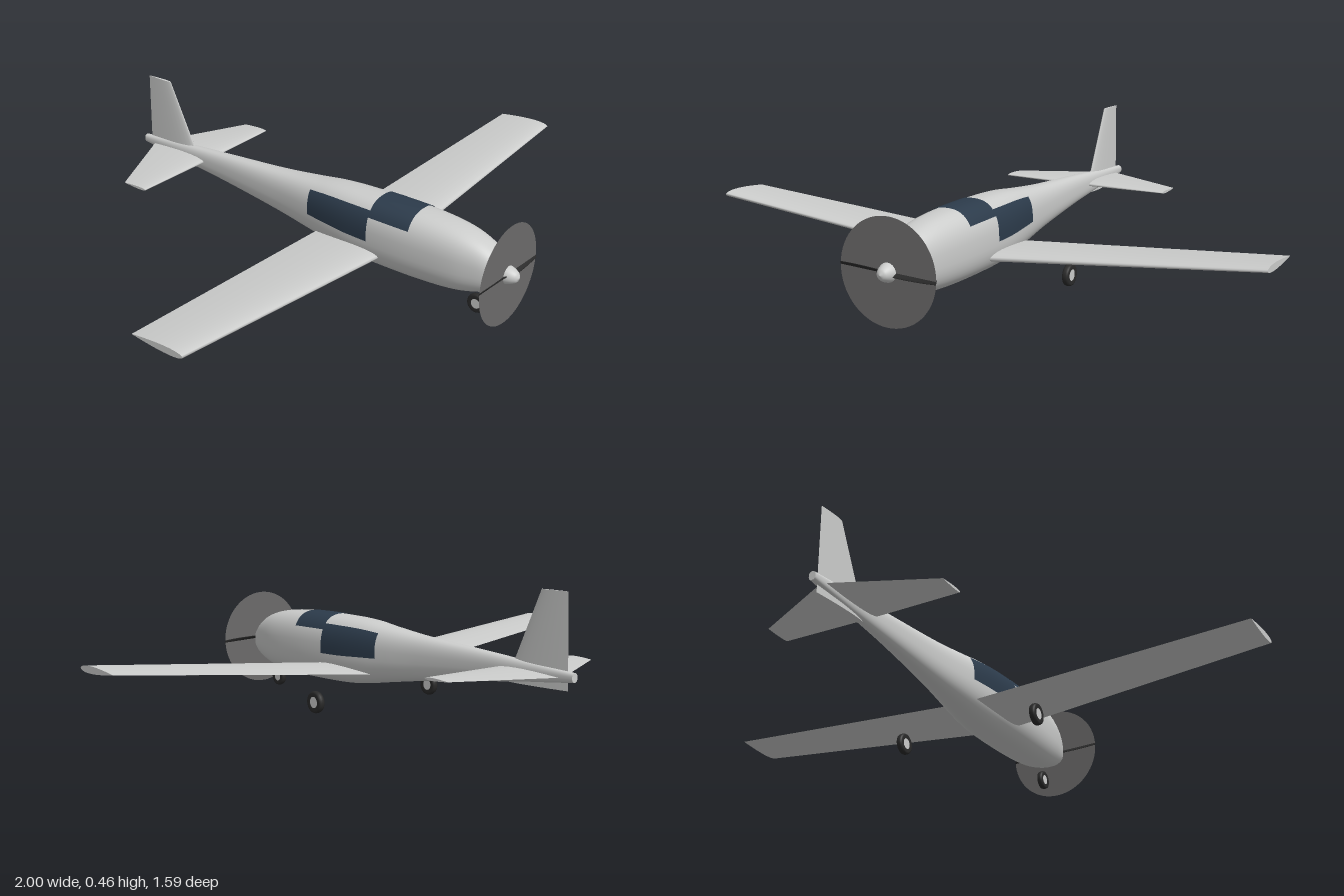
import * as THREE from 'three';

const mat = (name, color, side = THREE.FrontSide) => {
  const m = new THREE.MeshStandardMaterial({ color, side });
  m.name = name;
  return m;
};

// Skin between equal-length rings; caps get their own vertices so their edges stay sharp
function loft(rings, closed, caps) {
  const n = rings[0].length, pos = rings.flat(2), idx = [];
  for (let i = 0; i < rings.length - 1; i++) {
    for (let j = 0; j < (closed ? n : n - 1); j++) {
      const k = (j + 1) % n;
      const a = i * n + j, b = i * n + k, c = a + n, d = b + n;
      idx.push(a, b, d, a, d, c);
    }
  }
  if (caps) {
    [rings[0], rings[rings.length - 1]].forEach((ring, end) => {
      const base = pos.length / 3;
      pos.push(...ring.flat());
      for (let j = 1; j < n - 1; j++) {
        if (end) idx.push(base, base + j, base + j + 1);
        else idx.push(base, base + j + 1, base + j);
      }
    });
  }
  const g = new THREE.BufferGeometry();
  g.setAttribute('position', new THREE.Float32BufferAttribute(pos, 3));
  g.setIndex(idx);
  g.computeVertexNormals();
  return g;
}

// Fuselage stations: z, top y, bottom y, half width
const STATIONS = [
  [-0.795, 0.223, 0.194, 0.012], [-0.57, 0.240, 0.168, 0.022], [-0.4, 0.252, 0.150, 0.031],
  [-0.15, 0.268, 0.117, 0.050], [0, 0.283, 0.094, 0.069], [0.1, 0.295, 0.078, 0.083],
  [0.2, 0.300, 0.067, 0.092], [0.37, 0.301, 0.064, 0.096], [0.5, 0.297, 0.066, 0.092],
  [0.6, 0.285, 0.074, 0.083], [0.67, 0.264, 0.090, 0.068], [0.715, 0.238, 0.106, 0.054],
  [0.745, 0.212, 0.123, 0.040],
];

// Smooth interpolation of column k at z
function station(z, k) {
  const S = STATIONS, last = S.length - 1;
  let i = 0;
  while (i < last - 1 && z > S[i + 1][0]) i++;
  const slope = (p) => {
    const a = S[Math.max(p - 1, 0)], b = S[Math.min(p + 1, last)];
    return (b[k] - a[k]) / (b[0] - a[0]);
  };
  const h = S[i + 1][0] - S[i][0], t = (z - S[i][0]) / h, u = 1 - t;
  return S[i][k] * u * u * (1 + 2 * t) + S[i + 1][k] * t * t * (3 - 2 * t)
    + h * t * u * (slope(i) * u - slope(i + 1) * t);
}

// Slightly squared oval section of the fuselage
function hullPoint(z, angle, offset = 0) {
  const top = station(z, 1), bottom = station(z, 2);
  const soft = (v) => Math.sign(v) * Math.abs(v) ** 0.8;
  return [
    (station(z, 3) + offset) * soft(Math.cos(angle)),
    (top + bottom) / 2 + ((top - bottom) / 2 + offset) * soft(Math.sin(angle)),
    z,
  ];
}

function hullGeometry() {
  const rings = [], nz = 72, na = 48;
  for (let i = 0; i <= nz; i++) {
    const z = -0.795 + 1.54 * (i / nz);
    rings.push(Array.from({ length: na }, (_, j) => hullPoint(z, (j / na) * Math.PI * 2)));
  }
  return loft(rings, true, true);
}

// Thin panel lying on the hull between two z values and two angles in degrees
function hullPanel(z0, z1, a0, a1) {
  const rings = [], nz = 14, na = 24;
  for (let i = 0; i <= nz; i++) {
    const z = z0 + (z1 - z0) * (i / nz);
    rings.push(Array.from({ length: na + 1 }, (_, j) =>
      hullPoint(z, THREE.MathUtils.degToRad(a0 + (a1 - a0) * (j / na)), 0.002)));
  }
  return loft(rings, false, false);
}

// Aerofoil loop as [z, thickness], from trailing edge over the top and back below
function aerofoil(zLead, zTrail, ratio) {
  const pts = [], n = 12, chord = zLead - zTrail;
  for (let i = -n; i <= n; i++) {
    const x = (1 - Math.cos((Math.abs(i) / n) * Math.PI)) / 2;
    const t = 5 * ratio * (0.2969 * Math.sqrt(x) - 0.126 * x - 0.3516 * x ** 2 + 0.2843 * x ** 3 - 0.1036 * x ** 4);
    pts.push([zLead - x * chord, Math.abs(i) === n ? 0 : -Math.sign(i) * t * chord]);
  }
  return pts;
}

// Mirrored wing: root and tip given as [x, y, zLead, zTrail]
function wingGeometry(root, tip, ratio) {
  const ring = ([x, y, lead, trail], s) => aerofoil(lead, trail, ratio).map(([z, t]) => [s * x, y + t, z]);
  return loft([ring(tip, -1), ring(root, 1), ring(tip, 1)], false, true);
}

function finGeometry() {
  const ring = (y, lead, trail) => aerofoil(lead, trail, 0.085).map(([z, t]) => [-t, y, z]);
  return loft([ring(0.165, -0.52, -0.77), ring(0.462, -0.66, -0.765)], false, true);
}

// Twisted, tapering blade pointing to +x
function bladeGeometry() {
  const rings = [];
  for (let i = 0; i <= 10; i++) {
    const t = i / 10, pitch = 1.0 - 0.6 * t;
    const chord = 0.014 * (1 - 0.5 * t * t), thick = 0.003 * (1 - 0.6 * t);
    rings.push(Array.from({ length: 12 }, (_, j) => {
      const a = (j / 12) * Math.PI * 2, c = chord * Math.cos(a), n = thick * Math.sin(a);
      return [0.01 + 0.159 * t, c * Math.cos(pitch) + n * Math.sin(pitch), -c * Math.sin(pitch) + n * Math.cos(pitch)];
    }));
  }
  return loft(rings, true, true);
}

export function createModel() {
  const model = new THREE.Group();
  model.name = 'lightAircraft';
  const paint = mat('paleGreyPaint', 0xcccdcc);
  const glass = mat('darkBlueGlass', 0x2c3b4b, THREE.DoubleSide);
  const rubber = mat('blackRubber', 0x2a2a2a, THREE.DoubleSide);
  const bladeMat = mat('charcoalBlade', 0x2b2b2b);
  const discMat = mat('greyDisc', 0x6b6a6a, THREE.DoubleSide);
  const add = (name, geo, material, parent = model) => {
    const m = new THREE.Mesh(geo, material);
    m.name = name;
    parent.add(m);
    return m;
  };

  // Body and flying surfaces
  add('fuselage', hullGeometry(), paint);
  add('wing', wingGeometry([0, 0.114, 0.325, 0.045], [1, 0.212, 0.325, 0.13], 0.12), paint);
  add('tailplane', wingGeometry([0, 0.204, -0.49, -0.75], [0.32, 0.206, -0.49, -0.59], 0.09), paint);
  add('fin', finGeometry(), paint);

  // Windows
  add('windscreen', hullPanel(0.28, 0.435, 31, 149), glass);
  add('leftWindow', hullPanel(0.02, 0.28, -3, 45), glass);
  add('rightWindow', hullPanel(0.02, 0.28, 135, 183), glass);

  // Propeller with spinner and blur disc
  const propeller = new THREE.Group();
  propeller.name = 'propeller';
  propeller.position.set(0, 0.173, 0.755);
  propeller.rotation.z = -0.04;
  model.add(propeller);
  add('propellerDisc', new THREE.CircleGeometry(0.169, 64), discMat, propeller);
  for (let i = 0; i < 2; i++) add('blade', bladeGeometry(), bladeMat, propeller).rotation.z = i * Math.PI;
  const profile = Array.from({ length: 11 }, (_, i) =>
    new THREE.Vector2(0.032 * Math.sqrt(1 - (i / 10) ** 1.6), -0.012 + 0.052 * (i / 10)));
  add('spinner', new THREE.LatheGeometry(profile, 32), paint, propeller).rotation.x = Math.PI / 2;

  // Wheels
  const tyre = [[0.019, -0.010], [0.030, -0.011], [0.035, -0.009], [0.037, -0.004],
    [0.037, 0.004], [0.035, 0.009], [0.030, 0.011], [0.019, 0.010]].map(([r, h]) => new THREE.Vector2(r, h));
  const wheels = [['noseWheel', 0, 0.033, 0.65, 0.89], ['leftWheel', 0.258, 0.042, 0.105, 1], ['rightWheel', -0.258, 0.042, 0.105, 1]];
  for (const [name, x, y, z, scale] of wheels) {
    const wheel = new THREE.Group();
    wheel.name = name;
    wheel.position.set(x, y, z);
    wheel.rotation.z = Math.PI / 2;
    wheel.scale.setScalar(scale);
    model.add(wheel);
    add('tyre', new THREE.LatheGeometry(tyre, 32), rubber, wheel);
    add('hub', new THREE.CylinderGeometry(0.0195, 0.0195, 0.018, 32), paint, wheel);
  }
  return model;
}
